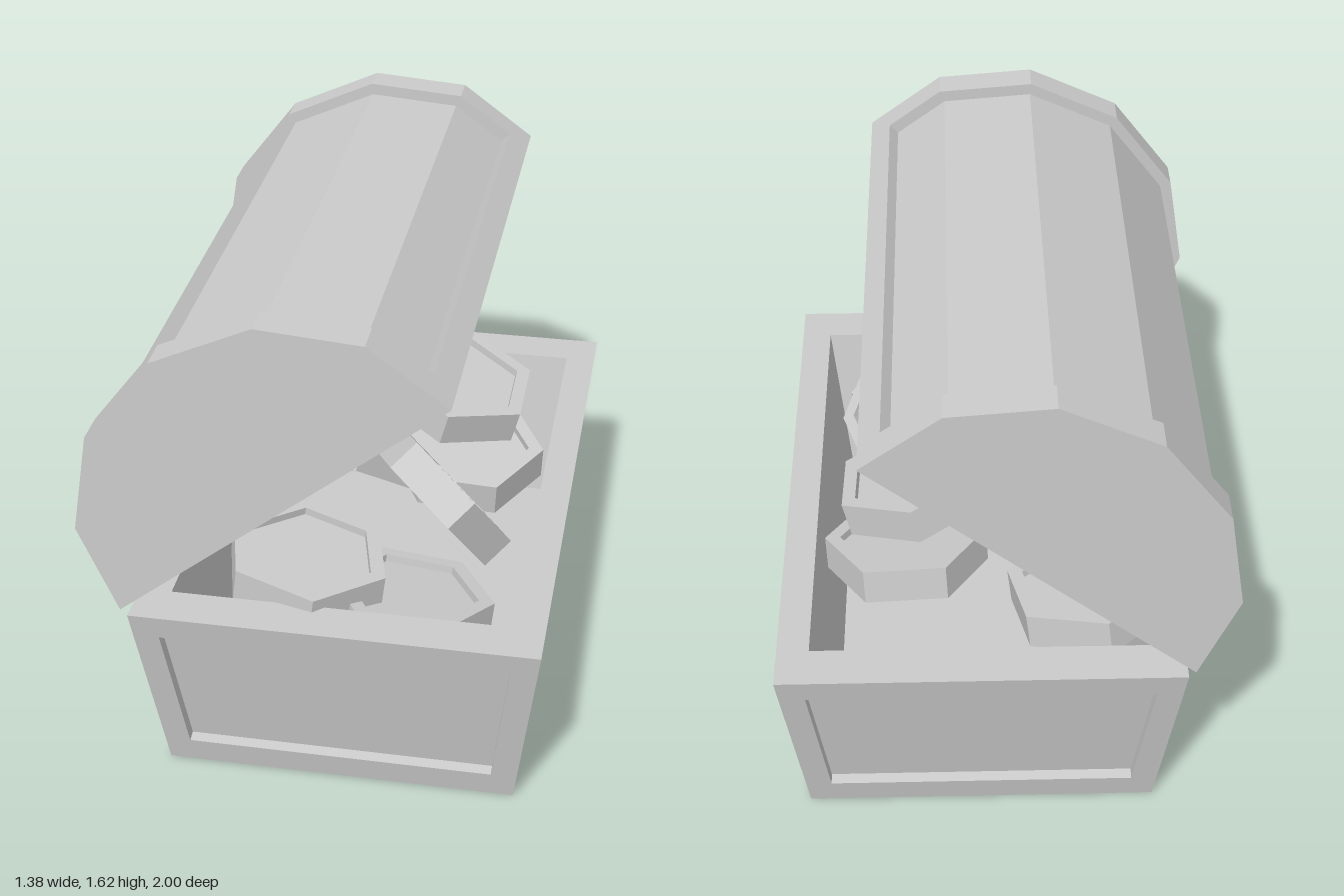
import * as THREE from 'three';

const material = new THREE.MeshStandardMaterial({ color: 0xcccccc, flatShading: true });

function addMesh(parent, geometry, name) {
  const mesh = new THREE.Mesh(geometry, material);
  mesh.name = name;
  parent.add(mesh);
  return mesh;
}

// Joins a chain of four-cornered loops and closes the last one.
function loopsGeometry(chains) {
  const pos = [];
  const quad = (a, b, c, d) => [a, b, c, a, c, d].forEach((p) => pos.push(p.x, p.y, p.z));
  for (const loops of chains) {
    for (let k = 0; k < loops.length - 1; k++) {
      for (let i = 0; i < 4; i++) {
        const j = (i + 1) % 4;
        quad(loops[k][i], loops[k][j], loops[k + 1][j], loops[k + 1][i]);
      }
    }
    quad(...loops[loops.length - 1]);
  }
  const geometry = new THREE.BufferGeometry();
  geometry.setAttribute('position', new THREE.Float32BufferAttribute(pos, 3));
  geometry.computeVertexNormals();
  return geometry;
}

// Flared box with a sunken panel on each side and a hollow top.
const CX = 0.0675, BASE_H = 0.62;
function baseGeometry() {
  const halfX = (y) => 0.5475 + 0.075 * y / BASE_H;
  const halfZ = (y) => 0.88 + 0.12 * y / BASE_H;
  const chains = [];
  const sides = [
    { w: halfX, d: halfZ, low: 0.4775, high: 0.5325 },
    { w: halfZ, d: halfX, low: 0.765, high: 0.85 },
  ];
  for (let s = 0; s < 4; s++) {
    const { w, d, low, high } = sides[s % 2];
    const loop = (y0, w0, y1, w1) => [[-w0, y0], [w0, y0], [w1, y1], [-w1, y1]]
      .map(([x, y]) => new THREE.Vector3(x, y, d(y)));
    const outer = loop(0, w(0), BASE_H, w(BASE_H));
    const frame = loop(0.085, low, 0.54, high);
    const inward = new THREE.Vector3(0, d(BASE_H) - d(0), -BASE_H).setLength(0.035);
    const panel = frame.map((p) => p.clone().add(inward));
    const place = (p) => {
      p.applyAxisAngle(new THREE.Vector3(0, 1, 0), s * Math.PI / 2);
      p.x += CX;
    };
    [outer, frame, panel].forEach((l) => l.forEach(place));
    chains.push([outer, frame, panel]);
  }
  const rect = (x, z, y) => [[-x, z], [x, z], [x, -z], [-x, -z]]
    .map(([a, b]) => new THREE.Vector3(CX + a, y, b));
  chains.push([rect(halfX(BASE_H), 1, BASE_H), rect(0.523, 0.855, BASE_H), rect(0.458, 0.765, 0.1)]);
  chains.push([rect(halfX(0), halfZ(0), 0).reverse()]);
  return loopsGeometry(chains);
}

// Lid profile, from the hinge over the top to the front lip.
const ARC = [[-0.575, 0.64], [-0.695, 0.915], [-0.645, 1.23], [-0.445, 1.49],
  [-0.145, 1.625], [0.17, 1.6], [0.41, 1.425]].map(([x, y]) => new THREE.Vector2(x, y));
const PIVOT = ARC[0].clone().lerp(ARC[6], 0.5);
const scaled = (points, s) => points.map((p) => p.clone().sub(PIVOT).multiplyScalar(s).add(PIVOT));

// Profile with a raised band along both lips.
function banded(s, inset, t) {
  const a = ARC[0].clone().lerp(ARC[1], t), b = ARC[6].clone().lerp(ARC[5], t);
  return [
    ...scaled([ARC[0], a], s),
    ...scaled([a, ...ARC.slice(1, 6), b], inset),
    ...scaled([b, ARC[6]], s),
  ];
}

function slab(points, z0, z1) {
  const geometry = new THREE.ExtrudeGeometry(new THREE.Shape(points), { depth: z1 - z0, bevelEnabled: false });
  return geometry.translate(0, 0, z0);
}

function createLid() {
  const lid = new THREE.Group();
  lid.name = 'lid';
  const shell = [...banded(1, 0.935, 0.27), ...banded(0.935, 0.87, 0.2).reverse()];
  addMesh(lid, slab(shell, -0.89, 0.89), 'lidShell');
  const rim = [...ARC, ...scaled(ARC, 0.935).reverse()];
  for (const [side, rimZ, plateZ] of [['front', [0.89, 0.96], [0.96, 1]], ['back', [-0.96, -0.89], [-1, -0.96]]]) {
    addMesh(lid, slab(rim, ...rimZ), side + 'LidRim');
    addMesh(lid, slab(ARC, ...plateZ), side + 'LidEnd');
  }
  return lid;
}

// Six-sided coin with a sunken face on both sides.
function coinGeometry() {
  const r = 0.265, inner = 0.215, h = 0.057, floor = 0.032;
  const profile = [[0, -floor], [inner, -floor], [inner, -h], [r, -h], [r, h], [inner, h], [inner, floor], [0, floor]];
  return new THREE.LatheGeometry(profile.map(([x, y]) => new THREE.Vector2(x, y)), 6);
}

export function createModel() {
  const model = new THREE.Group();
  model.name = 'treasureChest';
  addMesh(model, baseGeometry(), 'chestBase');
  model.add(createLid());

  // Each coin: centre, facing direction, spin
  const coins = [
    [[0.26, 0.8, -0.26], [0.25, 0.96, 0.1], 0],
    [[0.3, 0.53, -0.27], [0.05, 0.97, 0.15], Math.PI / 6],
    [[0.29, 0.7, 0.28], [0.65, 0.6, -0.45], 0.25],
    [[-0.07, 0.7, 0], [0.33, 0.82, -0.45], 0.3],
    [[-0.08, 0.62, 0.63], [0.12, 0.98, 0.03], 0.25],
    [[0.24, 0.5, 0.62], [0.1, 0.97, -0.12], Math.PI / 6],
    [[-0.28, 0.6, -0.58], [0.12, 0.97, 0.1], 0.2],
  ];
  const geometry = coinGeometry();
  const up = new THREE.Vector3(0, 1, 0);
  const pile = new THREE.Group();
  pile.name = 'coins';
  for (const [centre, facing, spin] of coins) {
    const coin = addMesh(pile, geometry, 'coin');
    coin.position.set(...centre);
    coin.quaternion.setFromUnitVectors(up, new THREE.Vector3(...facing).normalize());
    coin.rotateY(spin);
  }
  model.add(pile);
  return model;
}
